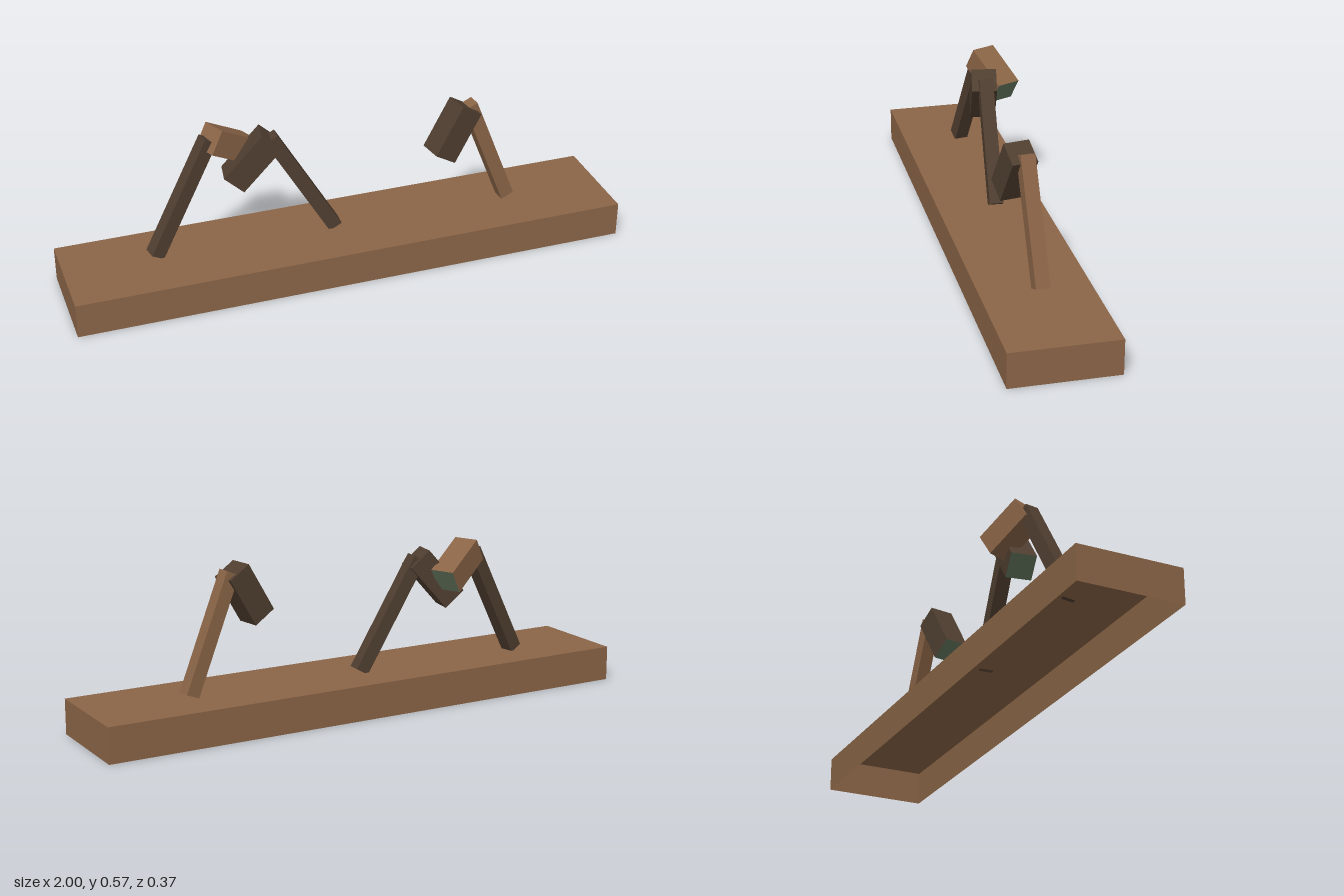
import * as THREE from 'three';

const mat = (name, color, side = THREE.FrontSide) => {
  const m = new THREE.MeshStandardMaterial({ color, side });
  m.name = name;
  return m;
};

export function createModel() {
  const model = new THREE.Group();
  model.name = 'spotlightPlank';
  const brown = mat('brown wood', 0x8a6446, THREE.DoubleSide);
  const dark = mat('dark wood', 0x4f3e30);
  const green = mat('green lens', 0x66785f);

  // Square bar from one point to another, its side faces kept level
  const bar = (name, from, to, size, material, endMaterial = material) => {
    const a = new THREE.Vector3(...from), b = new THREE.Vector3(...to);
    const axis = b.clone().sub(a);
    const length = axis.length();
    axis.normalize();
    const side = new THREE.Vector3(-axis.z, 0, axis.x).normalize();
    const front = new THREE.Vector3().crossVectors(side, axis);
    const mesh = new THREE.Mesh(
      new THREE.BoxGeometry(size, length, size),
      [material, material, endMaterial, material, material, material]
    );
    mesh.quaternion.setFromRotationMatrix(new THREE.Matrix4().makeBasis(side, axis, front));
    mesh.position.copy(a).lerp(b, 0.5);
    mesh.name = name;
    return mesh;
  };

  // Hollow base, open underneath
  const baseGeo = new THREE.BoxGeometry(2, 0.125, 0.374);
  const index = Array.from(baseGeo.index.array);
  index.splice(18, 6);
  baseGeo.setIndex(index);
  baseGeo.clearGroups();
  const base = new THREE.Mesh(baseGeo, brown);
  base.position.y = 0.0625;
  base.name = 'base';
  model.add(base);

  // Leaning posts, each carrying a lamp head with a lens at its far end
  const lamps = [
    { name: 'rightLamp', foot: [-0.675, 0.132, -0.026], top: [-0.46, 0.53, -0.066], postMat: dark,
      back: [-0.457, 0.534, -0.06], lens: [-0.315, 0.441, -0.123], headMat: brown },
    { name: 'middleLamp', foot: [-0.023, 0.13, -0.02], top: [-0.25, 0.517, -0.034], postMat: dark,
      back: [-0.249, 0.517, -0.03], lens: [-0.381, 0.363, -0.052], headMat: dark },
    { name: 'leftLamp', foot: [0.635, 0.134, -0.015], top: [0.472, 0.537, -0.002], postMat: brown,
      back: [0.457, 0.538, 0.01], lens: [0.355, 0.369, 0.027], headMat: dark },
  ];
  for (const l of lamps) {
    const lamp = new THREE.Group();
    lamp.name = l.name;
    lamp.add(bar('post', l.foot, l.top, 0.05, l.postMat));
    lamp.add(bar('lampHead', l.back, l.lens, 0.09, l.headMat, green));
    model.add(lamp);
  }
  return model;
}
